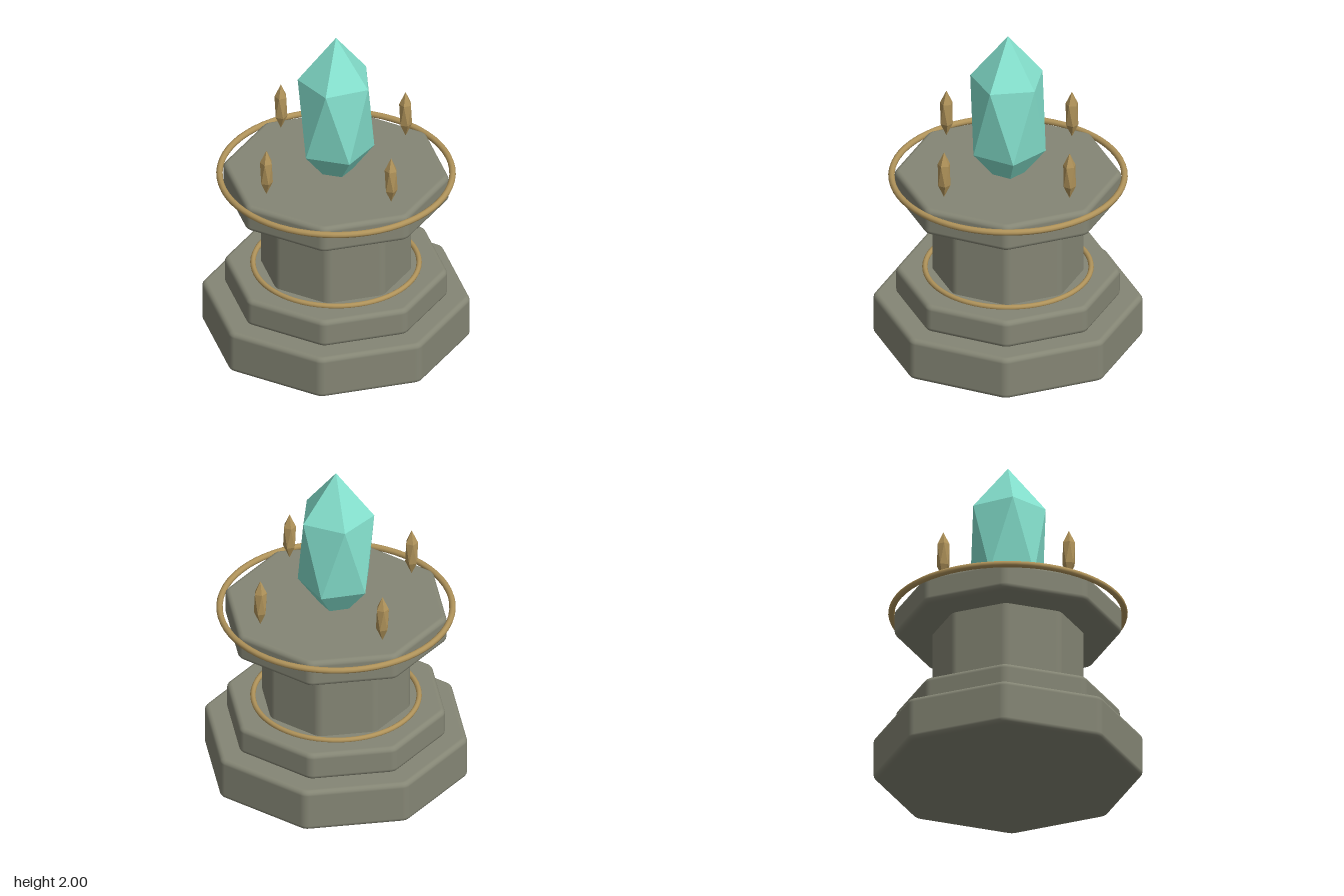
import * as THREE from 'three';
import { ConvexGeometry } from 'three/addons/geometries/ConvexGeometry.js';

const SIDES = 8, CORNER = 0.07, STEPS = 4;

// Octagonal block with rounded upright corners and softened top and bottom rims
function octagonBlock(radius, y0, y1, bevel) {
  const rows = [{ centre: true, y: y0, phi: -Math.PI / 2 }];
  for (const [sign, base] of [[-1, y0 + bevel], [1, y1 - bevel]]) {
    for (let i = 0; i <= STEPS; i++) {
      const t = sign < 0 ? i / STEPS - 1 : i / STEPS;
      const phi = t * Math.PI / 2;
      rows.push({ y: base + bevel * Math.sin(phi), phi });
    }
  }
  rows.push({ centre: true, y: y1, phi: Math.PI / 2 });

  const positions = [], normals = [], index = [];
  const around = SIDES * (STEPS + 1);
  for (const { y, phi, centre } of rows) {
    for (let s = 0; s < SIDES; s++) {
      const a = s * 2 * Math.PI / SIDES;
      for (let j = 0; j <= STEPS; j++) {
        const th = a + (j / STEPS - 0.5) * 2 * Math.PI / SIDES;
        const c = centre ? 0 : radius - CORNER;
        const r = centre ? 0 : CORNER - bevel + bevel * Math.cos(phi);
        positions.push(c * Math.cos(a) + r * Math.cos(th), y, c * Math.sin(a) + r * Math.sin(th));
        normals.push(Math.cos(phi) * Math.cos(th), Math.sin(phi), Math.cos(phi) * Math.sin(th));
      }
    }
  }
  for (let r = 0; r < rows.length - 1; r++) {
    for (let j = 0; j < around; j++) {
      const a = r * around + j, b = r * around + (j + 1) % around;
      const c = a + around, d = b + around;
      if (r > 0) index.push(a, d, b);
      if (r < rows.length - 2) index.push(a, c, d);
    }
  }
  const g = new THREE.BufferGeometry();
  g.setAttribute('position', new THREE.Float32BufferAttribute(positions, 3));
  g.setAttribute('normal', new THREE.Float32BufferAttribute(normals, 3));
  g.setIndex(index);
  return g;
}

// Stretched twenty-faced gem with a point at each end
function gem(ringRadius, halfHeight) {
  const points = [new THREE.Vector3(0, halfHeight, 0), new THREE.Vector3(0, -halfHeight, 0)];
  for (let i = 0; i < 10; i++) {
    const a = i * Math.PI / 5;
    const y = halfHeight * 0.45 * (i % 2 ? -1 : 1);
    points.push(new THREE.Vector3(ringRadius * Math.cos(a), y, ringRadius * Math.sin(a)));
  }
  return new ConvexGeometry(points);
}

export function createModel() {
  const stone = new THREE.MeshStandardMaterial({ name: 'stone', color: 0x858675 });
  const gold = new THREE.MeshStandardMaterial({ name: 'gold', color: 0xb0935a });
  const crystal = new THREE.MeshStandardMaterial({ name: 'crystal', color: 0x84e0cd });

  const model = new THREE.Group();
  model.name = 'crystalPedestal';
  const add = (name, geometry, material, x = 0, y = 0, z = 0) => {
    const mesh = new THREE.Mesh(geometry, material);
    mesh.name = name;
    mesh.position.set(x, y, z);
    model.add(mesh);
    return mesh;
  };

  // Stone pedestal
  add('base', octagonBlock(0.788, 0, 0.268, 0.03), stone);
  add('step', octagonBlock(0.655, 0.268, 0.443, 0.03), stone);
  add('column', octagonBlock(0.443, 0.42, 0.95, 0.02), stone);
  add('cap', octagonBlock(0.664, 0.925, 1.095, 0.03), stone);

  // Gold rings
  add('lowerRing', new THREE.TorusGeometry(0.487, 0.016, 10, 64), gold, 0, 0.45).rotation.x = Math.PI / 2;
  add('upperRing', new THREE.TorusGeometry(0.683, 0.019, 10, 64), gold, 0, 1.065).rotation.x = Math.PI / 2;

  // Main crystal, its lower point sunk in the cap
  add('crystal', gem(0.225, 0.515), crystal, 0, 1.485);

  // Four floating shards
  const shard = gem(0.038, 0.15);
  for (let i = 0; i < 4; i++) {
    const a = i * Math.PI / 2;
    add('shard' + (i + 1), shard, gold, 0.52 * Math.cos(a), 1.273, 0.52 * Math.sin(a));
  }
  return model;
}
